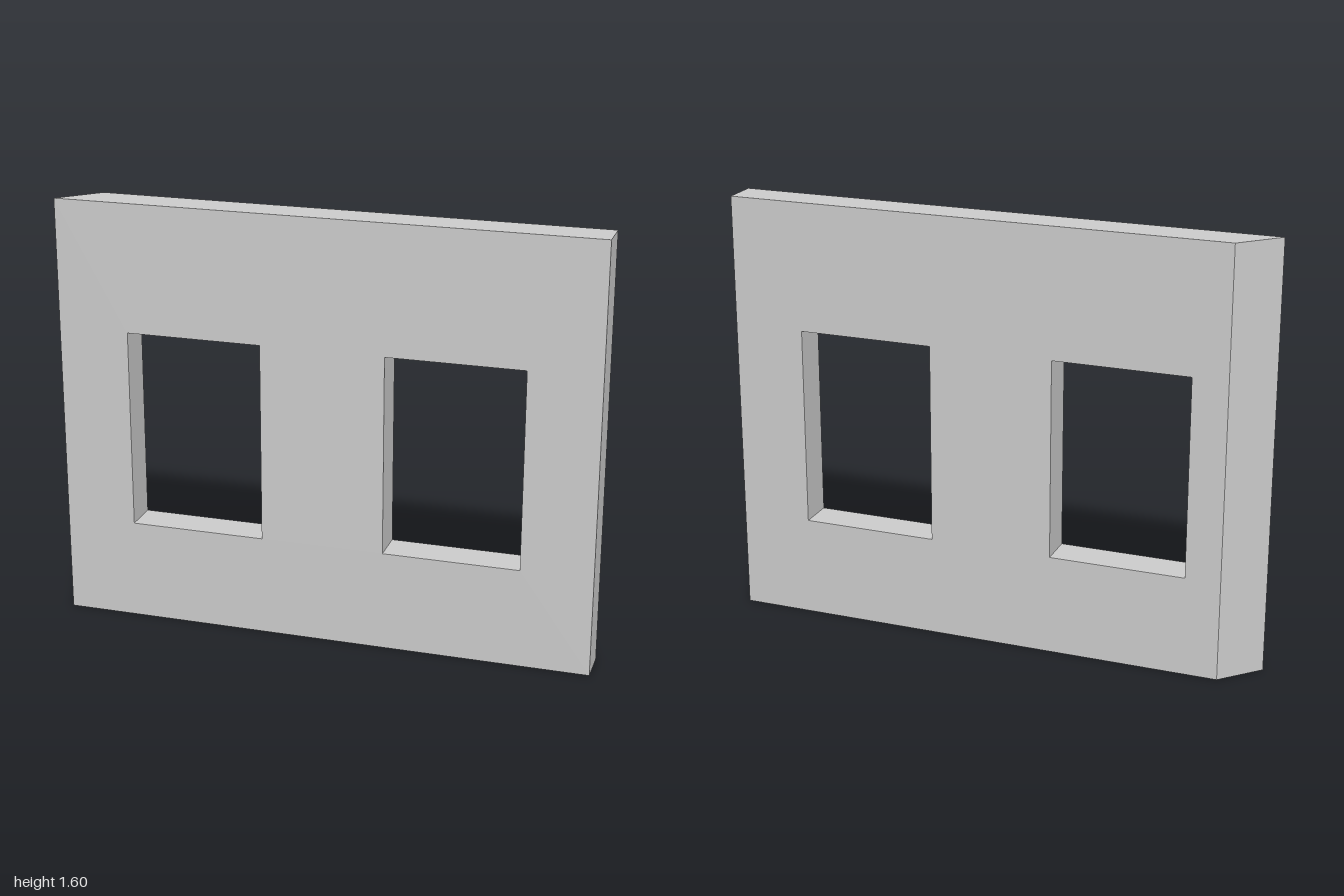
import * as THREE from 'three';

const DEPTH = 0.135;

// Closed rectangular outline from corner (x0, y0) to (x1, y1)
function rect(Type, x0, y0, x1, y1) {
  const path = new Type();
  path.moveTo(x0, y0);
  path.lineTo(x1, y0);
  path.lineTo(x1, y1);
  path.lineTo(x0, y1);
  path.closePath();
  return path;
}

export function createModel() {
  const group = new THREE.Group();
  group.name = 'windowWall';

  // Wall slab with two window openings
  const outline = rect(THREE.Shape, -1, 0, 1, 1.6);
  for (const x of [-0.735, 0.23]) {
    outline.holes.push(rect(THREE.Path, x, 0.375, x + 0.505, 1.12));
  }
  const geometry = new THREE.ExtrudeGeometry(outline, { depth: DEPTH, bevelEnabled: false });
  geometry.translate(0, 0, -DEPTH / 2);

  // Mitre the right end at 45 degrees by pulling in its back edge
  const pos = geometry.attributes.position;
  for (let i = 0; i < pos.count; i++) {
    if (pos.getX(i) < -0.99 && pos.getZ(i) < 0) pos.setX(i, -1 + DEPTH);
  }
  geometry.computeVertexNormals();

  const wall = new THREE.Mesh(
    geometry,
    new THREE.MeshStandardMaterial({ color: 0xcccccc, flatShading: true })
  );
  wall.name = 'wall';
  group.add(wall);
  return group;
}
